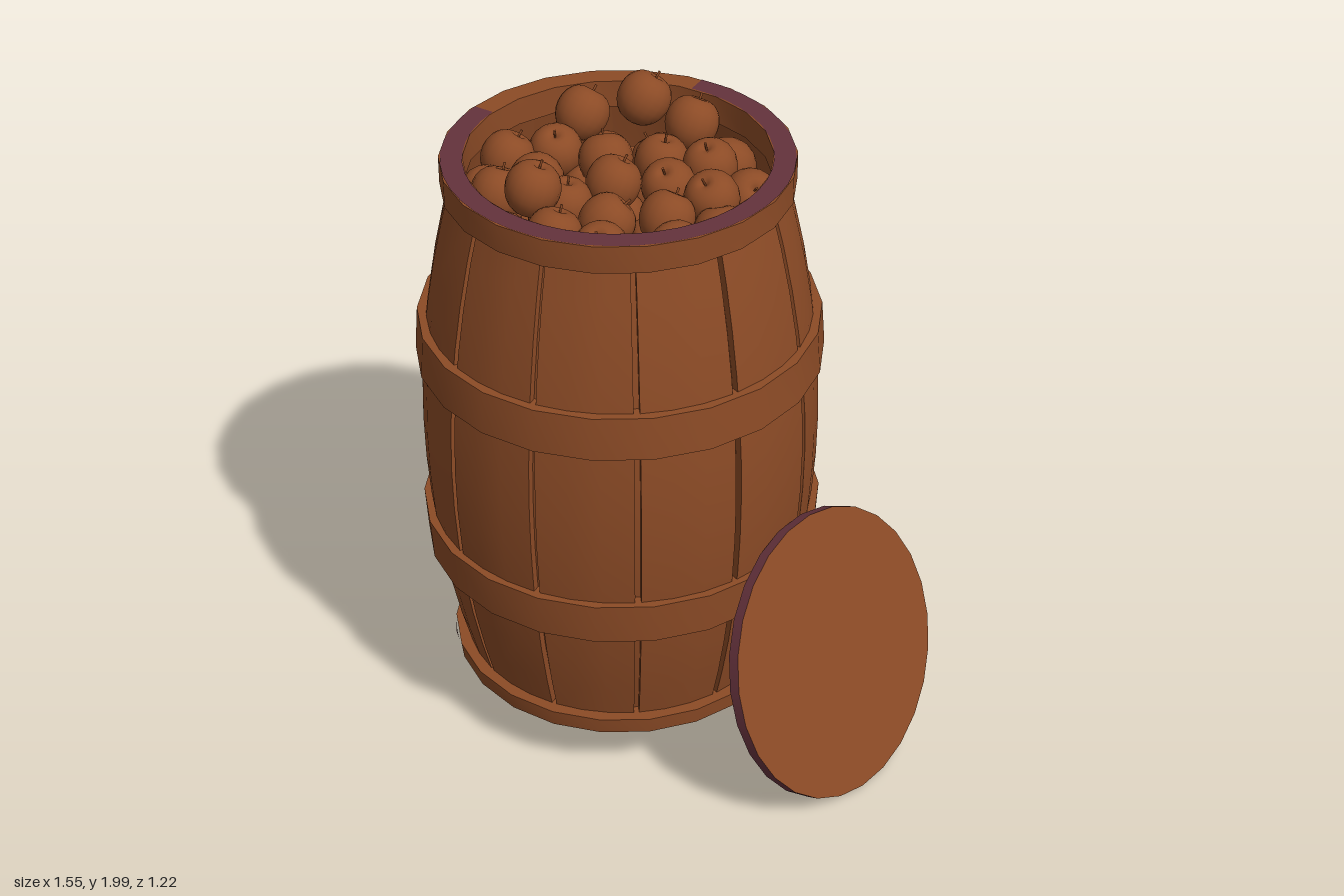
import * as THREE from 'three';
import { toCreasedNormals } from 'three/addons/utils/BufferGeometryUtils.js';

const rad = THREE.MathUtils.degToRad;
const V = (x, y) => new THREE.Vector2(x, y);

// Barrel radius at a given height
const barrelRadius = (y) => 0.6 - 0.17 * (y - 1.03) ** 2;

export function createModel() {
  const wood = new THREE.MeshStandardMaterial({ color: 0x8c4b26 });
  wood.name = 'brown wood';
  const plum = new THREE.MeshStandardMaterial({ color: 0x64323c });
  plum.name = 'plum stain';

  const model = new THREE.Group();
  model.name = 'barrelOfFruit';
  const barrel = new THREE.Group();
  barrel.name = 'barrel';
  barrel.position.x = -0.165;
  model.add(barrel);

  const add = (name, geometry, material, parent = barrel) => {
    const mesh = new THREE.Mesh(geometry, material);
    mesh.name = name;
    parent.add(mesh);
    return mesh;
  };

  // Wraps a flat box or plane (x, y, z in -0.5..0.5) around the barrel
  const bend = (geometry, y0, y1, angleAt, radiusAt) => {
    const p = geometry.attributes.position;
    for (let i = 0; i < p.count; i++) {
      const v = p.getY(i) + 0.5;
      const y = y0 + (y1 - y0) * v;
      const a = angleAt(p.getX(i) + 0.5, v);
      const r = radiusAt(y, p.getZ(i));
      p.setXYZ(i, Math.sin(a) * r, y, Math.cos(a) * r);
    }
    geometry.computeVertexNormals();
    return geometry;
  };

  // Twelve curved staves with narrow grooves between them
  for (let k = 0; k < 12; k++) {
    const box = new THREE.BoxGeometry(1, 1, 1, 3, 12, 1);
    add('stave', bend(box, 0.22, 1.88,
      (u) => rad(k * 30 + (u - 0.5) * 28.2),
      (y, d) => barrelRadius(y) - 0.0125 + d * 0.025), wood);
  }

  // Inner wall behind the grooves
  const wall = [];
  for (let i = 0; i <= 10; i++) {
    const y = 0.22 + i * 0.166;
    wall.push(V(barrelRadius(y) - 0.024, y));
  }
  const liner = wood.clone();
  liner.name = 'brown wood, two sided';
  liner.side = THREE.DoubleSide;
  add('innerWall', new THREE.LatheGeometry(wall, 36), liner);

  // Rims and hoops: inner radius, lower and upper outer radius, bottom, top
  const hoop = (name, inner, low, high, y0, y1) => {
    const profile = [V(inner, y0), V(low, y0), V(high, y1), V(inner, y1), V(inner, y0)];
    add(name, toCreasedNormals(new THREE.LatheGeometry(profile, 22), 0.6), wood);
  };
  hoop('topRim', 0.447, 0.516, 0.516, 1.84, 1.925);
  hoop('upperHoop', 0.55, 0.612, 0.602, 1.28, 1.415);
  hoop('lowerHoop', 0.55, 0.604, 0.612, 0.615, 0.75);
  hoop('bottomRim', 0.447, 0.527, 0.534, 0.195, 0.25);

  // Floor of the barrel
  const floor = add('floor', new THREE.CylinderGeometry(0.455, 0.455, 0.02, 22), wood);
  floor.position.y = 0.235;

  // Stained part of the top rim, and a small stain below the bottom rim
  const rimStain = add('topRimStain',
    new THREE.RingGeometry(0.447, 0.511, 34, 1, rad(186), rad(275)), plum);
  rimStain.rotation.x = -Math.PI / 2;
  rimStain.position.y = 1.927;
  const baseStain = add('bottomRimStain',
    new THREE.RingGeometry(0.448, 0.522, 2, 1, rad(38), rad(14)), plum);
  baseStain.rotation.x = Math.PI / 2;
  baseStain.position.y = 0.193;

  // Tapering stain on one stave and the rim under it
  add('staveStain', bend(new THREE.PlaneGeometry(1, 1, 8, 12), 0.25, 1.02,
    (u, v) => rad(THREE.MathUtils.lerp(-68 + 3 * v, -45.5 - 18 * v, u)),
    (y) => barrelRadius(y) + 0.003), plum);
  add('rimSideStain', bend(new THREE.PlaneGeometry(1, 1, 8, 1), 0.205, 0.25,
    (u, v) => rad(THREE.MathUtils.lerp(-59, -46 + 12 * v, u)),
    () => 0.536), plum);

  // Round fruit with a dimple at the stem
  const profile = [V(0, -0.072), V(0.02, -0.077), V(0.05, -0.064), V(0.073, -0.033),
    V(0.081, 0.004), V(0.074, 0.04), V(0.053, 0.067), V(0.026, 0.077), V(0.01, 0.07), V(0, 0.062)];
  const fruitGeometry = new THREE.LatheGeometry(
    new THREE.SplineCurve(profile).getPoints(16).map((p) => V(Math.max(p.x, 0), p.y)), 18);
  const stemGeometry = new THREE.CylinderGeometry(0.004, 0.003, 0.035, 5);
  stemGeometry.translate(0, 0.077, 0);
  let seed = 7;
  const random = () => (seed = (seed * 16807) % 2147483647) / 2147483647;
  const addFruit = (x, y, z) => {
    const fruit = new THREE.Group();
    fruit.name = 'fruit';
    add('fruitBody', fruitGeometry, wood, fruit);
    add('fruitStem', stemGeometry, wood, fruit);
    fruit.position.set(x, y, z);
    fruit.rotation.set((random() - 0.5) * 1.6, random() * 6, (random() - 0.5) * 1.6);
    model.add(fruit);
  };

  // Top layer: x, z, height of centre
  [
    [-0.33, -0.31, 1.92], [-0.17, -0.34, 1.88], [-0.46, -0.18, 1.88], [-0.17, -0.2, 1.81],
    [-0.01, -0.23, 1.84], [-0.05, -0.37, 1.77], [0.12, -0.25, 1.78], [0.11, -0.09, 1.84],
    [-0.05, -0.09, 1.82], [-0.29, -0.09, 1.82], [-0.45, -0.05, 1.81], [-0.535, 0.07, 1.81],
    [-0.39, 0.1, 1.8], [-0.165, 0.025, 1.84], [0.06, 0.055, 1.82], [0.2, -0.02, 1.79],
    [0.19, 0.165, 1.82], [-0.05, 0.19, 1.83], [-0.235, 0.155, 1.8], [-0.39, 0.27, 1.83],
    [-0.245, 0.28, 1.905], [-0.125, 0.33, 1.82], [0.04, 0.315, 1.83], [-0.5, 0.2, 1.76],
    [-0.29, 0.36, 1.76],
  ].forEach(([x, z, y]) => addFruit(x, y, z));

  // Lower layer in rings
  [[1, 0], [6, 0.18], [14, 0.365]].forEach(([count, r]) => {
    for (let i = 0; i < count; i++) {
      const a = (i / count) * Math.PI * 2 + r;
      addFruit(-0.165 + Math.sin(a) * r, 1.71, Math.cos(a) * r);
    }
  });
  const bed = add('fruitBed', new THREE.CylinderGeometry(0.49, 0.49, 0.02, 24), wood);
  bed.position.y = 1.67;

  // Lid leaning against the barrel
  const lid = add('lid', new THREE.CylinderGeometry(0.447, 0.447, 0.035, 26), [plum, wood, wood], model);
  lid.position.set(0.6, 0.431, -0.085);
  lid.rotation.z = rad(-69);

  return model;
}
